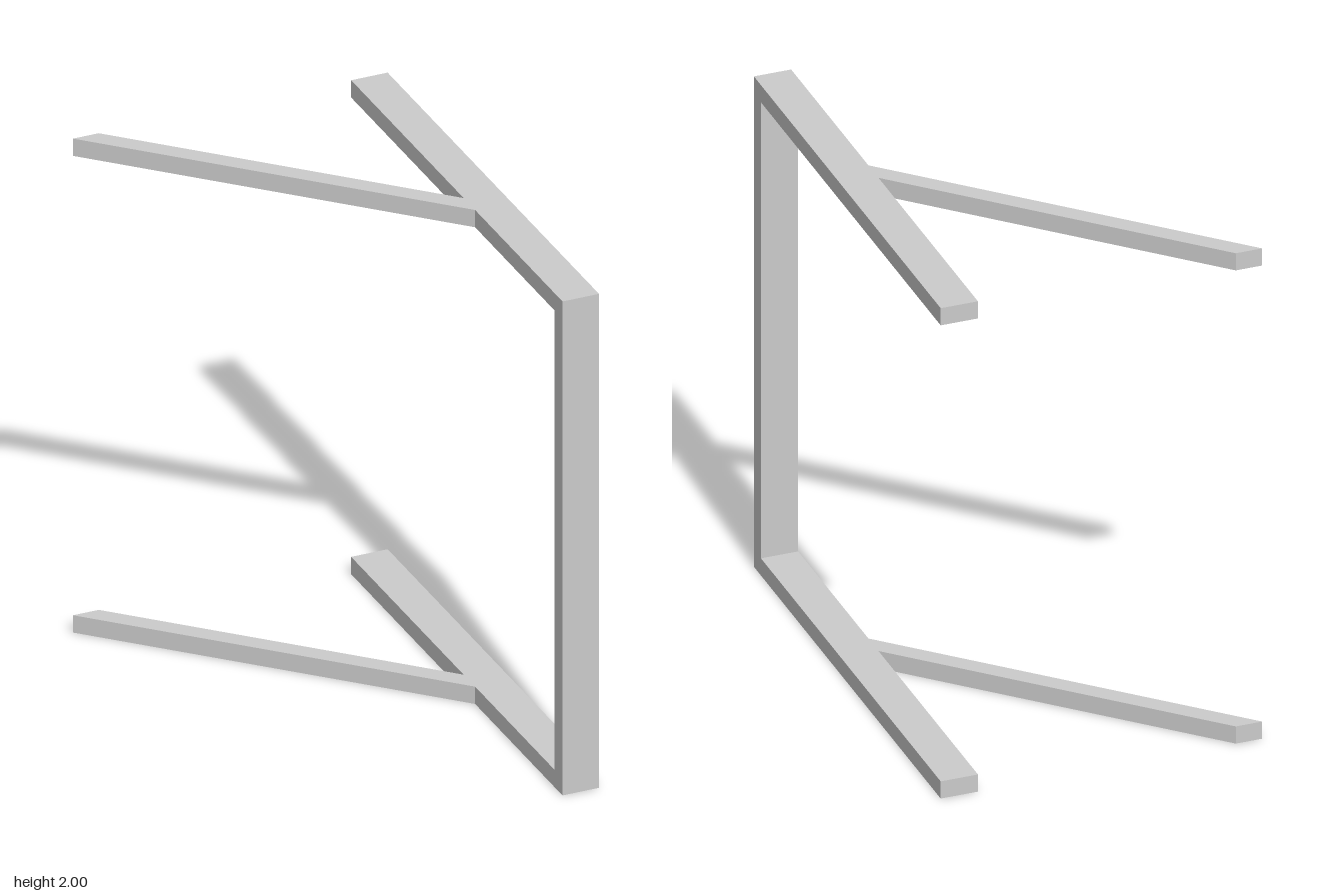
import * as THREE from 'three';

const material = new THREE.MeshStandardMaterial({ color: 0xcccccc, flatShading: true });

function extrude(points, depth) {
  const shape = new THREE.Shape(points.map(([x, y]) => new THREE.Vector2(x, y)));
  return new THREE.ExtrudeGeometry(shape, { depth, bevelEnabled: false });
}

export function createModel() {
  const group = new THREE.Group();
  const T = 0.07;        // bar thickness
  const Z = 0.925;       // half length of the arms
  const X0 = 0.472, X1 = 0.615; // sides of the flat bar

  // C-shaped frame: upright with an upper and a lower arm, profile in z and y
  const frameGeometry = extrude([
    [-Z, 0], [Z, 0], [Z, 2], [-Z, 2],
    [-Z, 2 - T], [Z - T, 2 - T], [Z - T, T], [-Z, T],
  ], X1 - X0);
  frameGeometry.rotateY(-Math.PI / 2).translate(X1, 0, 0);
  const frame = new THREE.Mesh(frameGeometry, material);
  frame.name = 'frame';
  group.add(frame);

  // Diagonal braces with mitred ends, plan outline in x and -z
  const braceGeometry = extrude([
    [-0.618, Z], [X0, -0.16], [X0, -0.06], [-0.517, Z],
  ], T);
  braceGeometry.rotateX(-Math.PI / 2);
  for (const [name, y] of [['lowerBrace', 0], ['upperBrace', 2 - T]]) {
    const brace = new THREE.Mesh(braceGeometry, material);
    brace.name = name;
    brace.position.y = y;
    group.add(brace);
  }
  return group;
}
